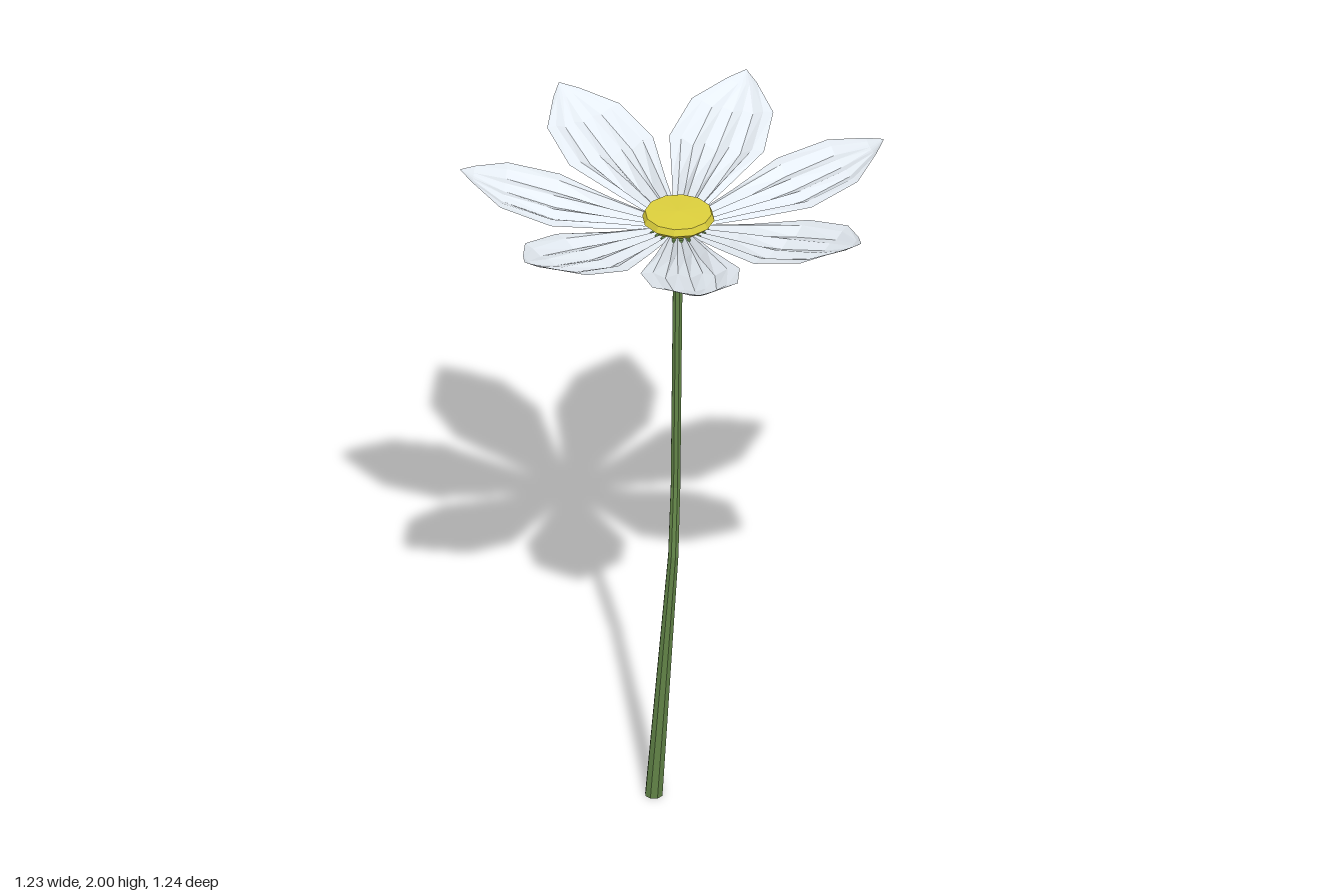
import * as THREE from 'three';

const mat = (color, side = THREE.FrontSide) =>
  new THREE.MeshStandardMaterial({ color, flatShading: true, side });

const CX = -0.02, CZ = -0.005; // flower head axis

// Stem: unit cylinder whose rings are moved onto a bent, tapering path
function makeStem(material) {
  const path = [ // x, y, z, radius
    [-0.155, 0, 0.13, 0.027],
    [-0.09, 0.8, 0.122, 0.016],
    [-0.06, 1.0, 0.068, 0.015],
    [-0.022, 1.81, -0.002, 0.015],
  ];
  const geo = new THREE.CylinderGeometry(1, 1, 1, 8, path.length - 1);
  const p = geo.attributes.position;
  for (let i = 0; i < p.count; i++) {
    const [x, y, z, r] = path[Math.round((p.getY(i) + 0.5) * (path.length - 1))];
    p.setXYZ(i, x + p.getX(i) * r, y, z + p.getZ(i) * r);
  }
  geo.computeVertexNormals();
  const stem = new THREE.Mesh(geo, material);
  stem.name = 'stem';
  return stem;
}

// Petal along +x: pleated near the base, cupped, narrowing to a curled tip
function petalGeometry() {
  const rows = [ // radius, half width, height, pleat depth, edge lift
    [0.06, 0.035, 1.842, 0.006, 0.004],
    [0.2, 0.085, 1.862, 0.012, 0.01],
    [0.36, 0.145, 1.892, 0.008, 0.018],
    [0.51, 0.125, 1.935, 0.004, 0.018],
    [0.6, 0.045, 1.972, 0, 0.014],
    [0.638, 0.002, 1.999, 0, 0],
  ];
  const cols = 8, pos = [], index = [];
  rows.forEach(([r, w, y, pleat, lift], j) => {
    for (let i = 0; i <= cols; i++) {
      const u = (i / cols) * 2 - 1;
      const fold = i > 0 && i < cols ? (i % 2 ? pleat : -pleat) : 0;
      pos.push(r, y + fold + lift * u * u, u * w);
      if (j && i) {
        const d = j * (cols + 1) + i, c = d - 1, b = d - cols - 1, a = b - 1;
        index.push(a, b, d, a, d, c);
      }
    }
  });
  const geo = new THREE.BufferGeometry();
  geo.setAttribute('position', new THREE.Float32BufferAttribute(pos, 3));
  geo.setIndex(index);
  geo.computeVertexNormals();
  return geo;
}

function lathe(name, profile, sides, material) {
  const pts = profile.map(([r, y]) => new THREE.Vector2(r, y));
  const mesh = new THREE.Mesh(new THREE.LatheGeometry(pts, sides), material);
  mesh.name = name;
  mesh.position.set(CX, 0, CZ);
  return mesh;
}

export function createModel() {
  const model = new THREE.Group();
  model.name = 'flower';
  const green = mat(0x5f8045);
  model.add(makeStem(green));

  // Green cup under the petals
  model.add(lathe('calyx', [[0, 1.795], [0.055, 1.795], [0.1, 1.838], [0.095, 1.847], [0, 1.847]], 12, green));

  // Yellow disc in the middle
  model.add(lathe('flowerCentre',
    [[0, 1.845], [0.08, 1.845], [0.106, 1.868], [0.098, 1.888], [0, 1.892]], 12, mat(0xdccf3c)));

  // Seven petals, each turned to its own heading in degrees
  const petals = new THREE.Group();
  petals.name = 'petals';
  petals.position.set(CX, 0, CZ);
  const geo = petalGeometry(), white = mat(0xe6edf4, THREE.DoubleSide);
  [-100, -49, 2.5, 56.5, 107.5, 157.5, 208].forEach((deg, i) => {
    const petal = new THREE.Mesh(geo, white);
    petal.name = `petal${i + 1}`;
    petal.rotation.y = -THREE.MathUtils.degToRad(deg);
    petals.add(petal);
  });
  model.add(petals);
  return model;
}
